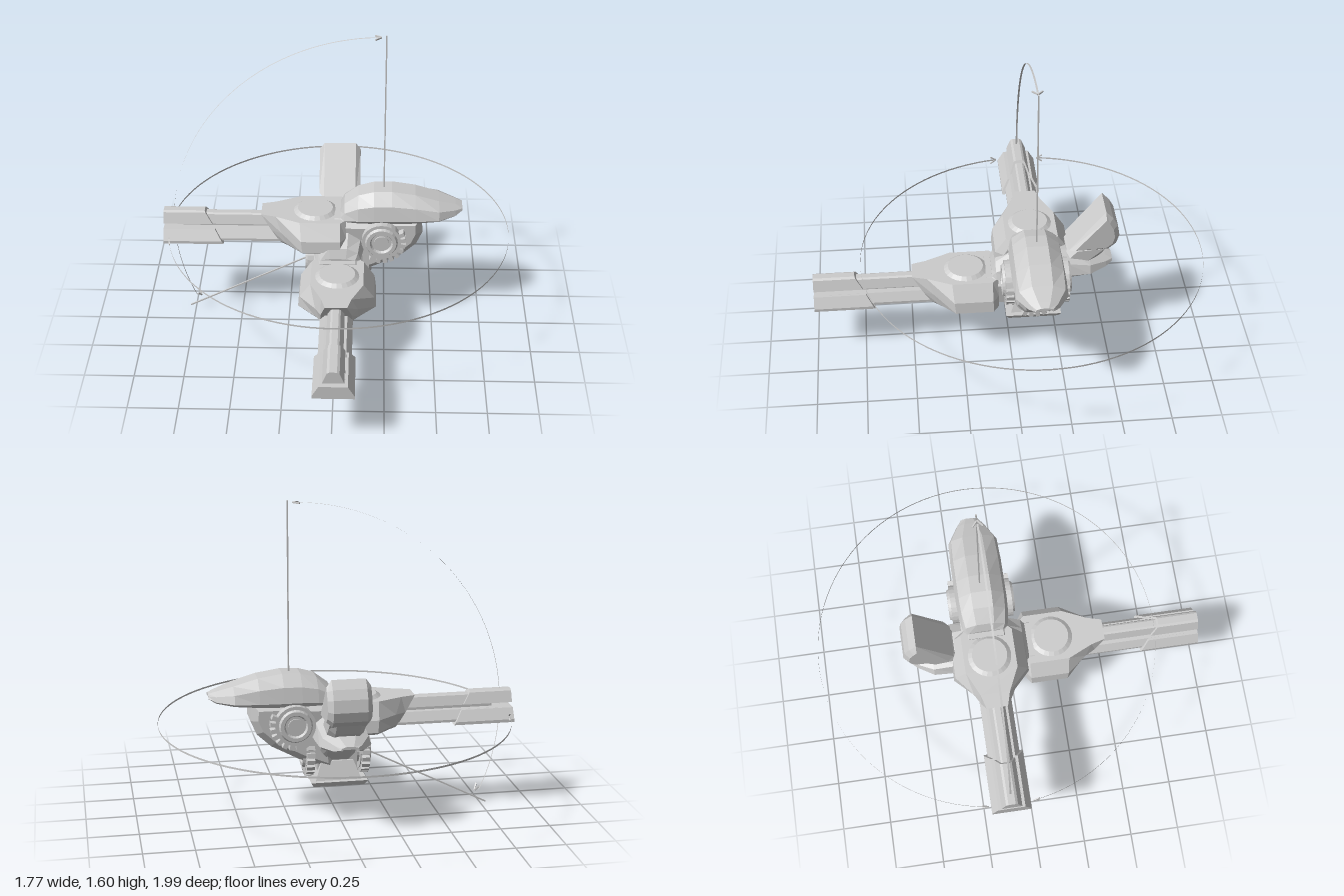
import * as THREE from 'three';

const mat = new THREE.MeshStandardMaterial({ color: 0xcccccc, flatShading: true, side: THREE.DoubleSide });

function add(parent, name, geo, x = 0, y = 0, z = 0) {
  const m = new THREE.Mesh(geo, mat);
  m.name = name;
  m.position.set(x, y, z);
  parent.add(m);
  return m;
}

// Skin over loops of [x, y, z] points, capped at both ends
function loft(loops) {
  const n = loops[0].length, idx = [];
  for (let s = 0; s < loops.length - 1; s++) {
    for (let i = 0; i < n; i++) {
      const a = s * n + i, b = s * n + (i + 1) % n;
      idx.push(a, b, b + n, a, b + n, a + n);
    }
  }
  const cap = THREE.ShapeUtils.triangulateShape(loops[0].map(p => new THREE.Vector2(p[0], p[1])), []);
  const last = (loops.length - 1) * n;
  for (const [a, b, c] of cap) idx.push(c, b, a, last + a, last + b, last + c);
  const g = new THREE.BufferGeometry();
  g.setAttribute('position', new THREE.Float32BufferAttribute(loops.flat(2), 3));
  g.setIndex(idx);
  const flat = g.toNonIndexed();
  flat.computeVertexNormals();
  return flat;
}

// Right half of a section, bottom to top, mirrored into a full loop
const mirror = half => [...half, ...half.slice().reverse().map(([x, y]) => [-x, y])];
const at = (loop, z, slant = 0) => loop.map(([x, y]) => [x, y, z + slant * (y + 0.06)]);

// Side profile extruded across its width, centred, with chamfered edges
function plate(points, width, bevel) {
  const g = new THREE.ExtrudeGeometry(new THREE.Shape(points.map(p => new THREE.Vector2(...p))), {
    depth: width - 2 * bevel, bevelEnabled: true, bevelSize: bevel, bevelThickness: bevel, bevelOffset: -bevel, bevelSegments: 1
  });
  return g.translate(0, 0, bevel - width / 2);
}

// Gun with its pivot at the origin, pointing to +z
function makeGun(name) {
  const gun = new THREE.Group();
  gun.name = name;

  // barrels: wide lower rail, slim upper rail, thin core between
  const lower = mirror([[0.1, -0.06], [0.1, -0.045], [0.068, 0.008]]);
  const upper = mirror([[0.052, 0.03], [0.03, 0.085], [0.018, 0.092]]);
  const small = k => p => [p[0] * k, p[1] * 0.84 + 0.002];
  add(gun, 'lowerMuzzle', loft([at(lower, 0.81, 0.65), at(lower, 1.12)]));
  add(gun, 'upperMuzzle', loft([at(upper, 0.81, 0.65), at(upper, 1.12)]));
  const lowIn = lower.map(small(0.82)), upIn = upper.map(small(0.82));
  add(gun, 'lowerBarrel', loft([at(lowIn, 0.4), at(lowIn, 1.06)]));
  add(gun, 'upperBarrel', loft([at(upIn, 0.4), at(upIn, 1.06)]));
  add(gun, 'barrelCore', new THREE.BoxGeometry(0.05, 0.05, 0.62), 0, 0.018, 0.71);

  // housing, with a nose that overhangs at the top
  const ring = ([z, w, slant]) => at(mirror([
    [w * 0.9, -0.06], [w, -0.045], [w * 0.96, 0.015], [w * 0.68, 0.095]]), z, slant);
  add(gun, 'housing', loft([[0.18, 0.15, 0], [0.21, 0.195, 0], [0.4, 0.195, 0.1], [0.48, 0.11, 0.4], [0.515, 0.08, 0.65]].map(ring)));
  add(gun, 'hatch', new THREE.CylinderGeometry(0.09, 0.112, 0.016, 24), 0, 0.102, 0.34);
  const neck = mirror([[0.115, -0.05], [0.125, 0.06], [0.09, 0.1]]);
  add(gun, 'breech', loft([at(neck, -0.03), at(neck, 0.24)]));

  // curved rear cowl: z, half width, bottom, top
  const cowl = [
    [-0.41, 0.045, 0.125, 0.145], [-0.375, 0.075, 0.108, 0.158], [-0.29, 0.127, 0.1, 0.185], [-0.17, 0.132, 0.09, 0.22],
    [-0.05, 0.132, 0.085, 0.238], [0.04, 0.132, 0.085, 0.235], [0.12, 0.128, 0.085, 0.213], [0.19, 0.115, 0.085, 0.16], [0.21, 0.1, 0.085, 0.11]];
  add(gun, 'cowl', loft(cowl.map(([z, w, b, t]) => at(mirror([
    [w * 0.7, b + (t - b) * 0.3], [w * 0.88, b], [w, b + (t - b) * 0.15], [w * 0.88, b + (t - b) * 0.65], [w * 0.4, t]]), z))));

  // pivot wheels
  const disc = (r, len) => new THREE.CylinderGeometry(r, r, len, 24).rotateZ(Math.PI / 2);
  add(gun, 'axle', disc(0.07, 0.31));
  for (const s of [-1, 1]) {
    add(gun, 'wheel', disc(0.1, 0.045), s * 0.136);
    add(gun, 'wheelRim', new THREE.TorusGeometry(0.067, 0.018, 6, 24).rotateY(Math.PI / 2), s * 0.156);
    add(gun, 'wheelHub', disc(0.038, 0.03), s * 0.152);
    for (let i = 0; i < 9; i++) {
      const a = -2.0 + i * 0.3;
      const tooth = add(gun, 'tooth', new THREE.BoxGeometry(0.04, 0.022, 0.035),
        s * 0.138, Math.sin(a) * 0.107, -Math.cos(a) * 0.107);
      tooth.rotation.x = a;
    }
  }
  return gun;
}

export function createModel() {
  const root = new THREE.Group();
  root.name = 'gunMount';
  const cx = 0.01, cz = -0.12, px = 0.23, py = 0.52;

  const front = makeGun('frontGun');
  front.position.set(cx, 0.34, cz);
  const side = makeGun('sideGun');
  side.position.set(px, py, cz);
  side.rotation.y = -Math.PI / 2;
  root.add(front, side);

  // pedestal
  const square = (r1, r2, h) => new THREE.CylinderGeometry(r1 * Math.SQRT2, r2 * Math.SQRT2, h, 4).rotateY(Math.PI / 4);
  add(root, 'footPlate', square(0.142, 0.128, 0.025), cx, 0.203, cz);
  add(root, 'pedestal', square(0.08, 0.115, 0.09), cx, 0.26, cz);
  add(root, 'bracket', new THREE.BoxGeometry(0.2, 0.13, 0.14), cx, 0.32, cz);

  // curved arm to the side gun
  add(root, 'sideArm', plate([[0.03, 0.26], [0.2, 0.32], [0.34, 0.395], [0.41, 0.46], [0.44, 0.53], [0.435, 0.62],
    [0.24, 0.62], [0.16, 0.5], [0.03, 0.4]], 0.2, 0.035), 0, 0, cz);

  // arm and rounded counterweight at the back
  const rear = new THREE.Group();
  rear.name = 'rearArm';
  rear.position.x = cx;
  rear.rotation.y = Math.PI / 2;
  root.add(rear);
  add(rear, 'strut', plate([[0.15, 0.27], [0.29, 0.4], [0.4, 0.47], [0.47, 0.53], [0.52, 0.6], [0.33, 0.6],
    [0.24, 0.5], [0.12, 0.42]], 0.18, 0.03));
  add(rear, 'counterweight', plate([[0.3, 0.575], [0.5, 0.575], [0.54, 0.61], [0.555, 0.66], [0.545, 0.72], [0.52, 0.765],
    [0.483, 0.805]], 0.215, 0.025));

  // thin range markers
  const guides = new THREE.Group();
  guides.name = 'rangeGuides';
  root.add(guides);
  const band = (r, h, start, len) => new THREE.CylinderGeometry(r, r, h, 96, 1, true, start, len);
  const R = 0.875, gap = 0.13;
  add(guides, 'traverseRing', band(R, 0.009, -Math.PI / 2 + gap, 2 * Math.PI - 2 * gap), cx, 0.5, cz);
  const arcR = 1.07, low = 0.43, high = Math.PI / 2 + low - 0.03;
  // arc about the z axis, from below the left horizon up to the vertical
  const arc = band(arcR, 0.009, 0, high).rotateX(Math.PI / 2).rotateZ(-Math.PI / 2);
  const arcMesh = add(guides, 'elevationArc', arc, px, py, cz);
  arcMesh.rotation.z = Math.PI + low - high + Math.PI - Math.PI + high - high;
  // align the arc by its known start and end
  arcMesh.geometry = new THREE.BufferGeometry();
  const pos = [], idx = [], N = 64;
  for (let i = 0; i <= N; i++) {
    const a = Math.PI + low - high * i / N;
    for (const z of [-0.0045, 0.0045]) pos.push(Math.cos(a) * arcR, Math.sin(a) * arcR, z);
    if (i < N) idx.push(2 * i, 2 * i + 1, 2 * i + 3, 2 * i, 2 * i + 3, 2 * i + 2);
  }
  arcMesh.geometry.setAttribute('position', new THREE.Float32BufferAttribute(pos, 3));
  arcMesh.geometry.setIndex(idx);
  arcMesh.geometry.computeVertexNormals();
  arcMesh.rotation.z = 0;

  // straight bar between two points
  function bar(name, a, b, t = 0.007) {
    const A = new THREE.Vector3(...a), B = new THREE.Vector3(...b);
    const m = add(guides, name, new THREE.BoxGeometry(t, t, A.distanceTo(B)));
    m.position.copy(A).lerp(B, 0.5);
    m.lookAt(B);
  }
  bar('upperLimit', [px + 0.01, py, cz], [px + 0.01, 1.6, cz]);
  bar('lowerLimit', [px, py, cz], [-0.78, 0.008, cz]);

  // arrowheads at the ends of the arc and ring
  for (const s of [-1, 1]) {
    bar('arcArrow', [-0.72, 0.072, cz], [-0.735, 0.1, cz + s * 0.025]);
    bar('arcArrow', [0.215, 1.59, cz], [0.185, 1.588, cz + s * 0.025]);
    for (const e of [-1, 1]) {
      const p = a => [cx - Math.cos(a) * R, 0.5, cz + e * Math.sin(a) * R];
      const tail = p(gap + 0.035);
      tail[1] += s * 0.02;
      bar('ringArrow', p(gap), tail, 0.006);
    }
  }
  return root;
}
